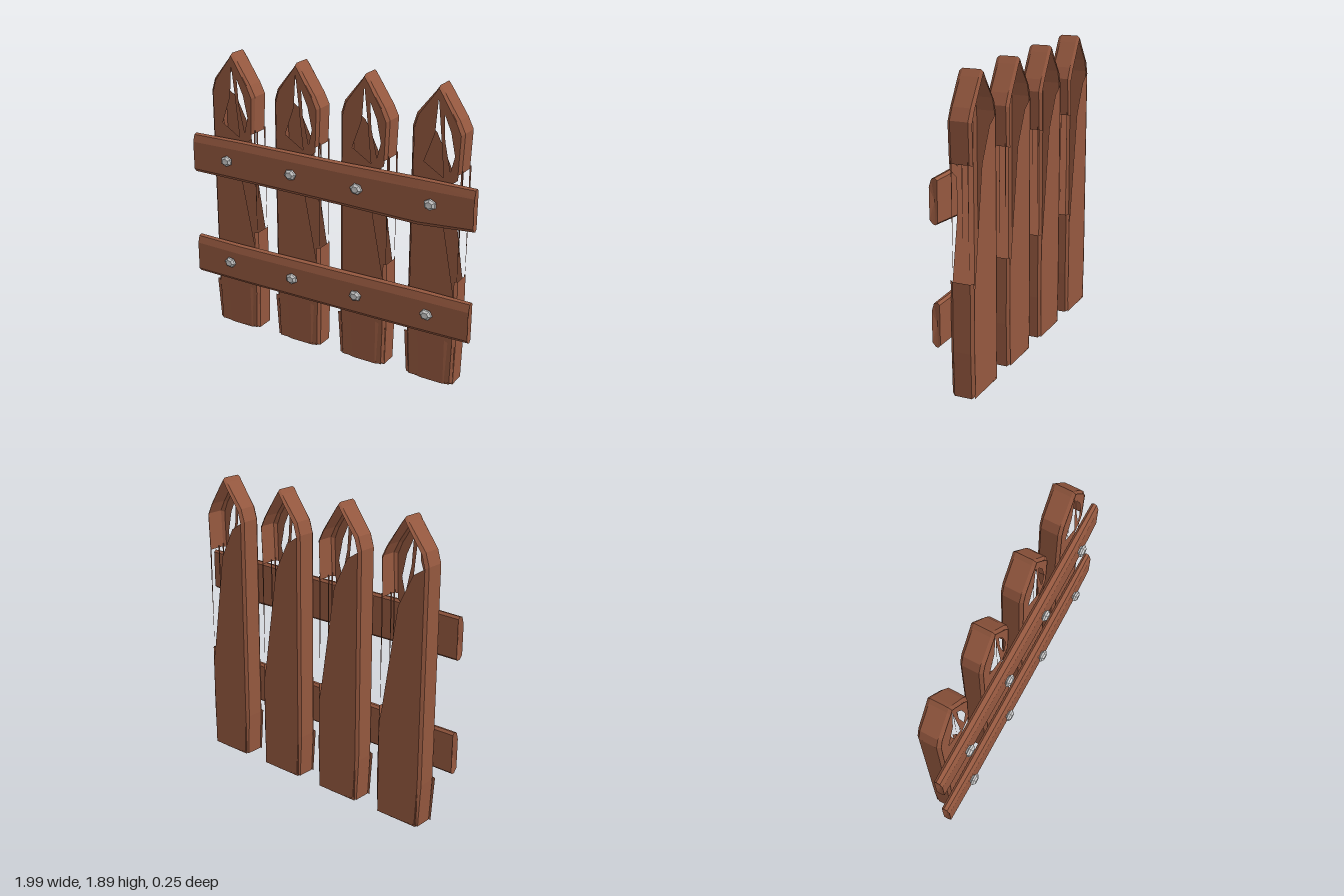
import * as THREE from 'three';

const wood = new THREE.MeshStandardMaterial({ color: 0x95583f, flatShading: true, side: THREE.DoubleSide });
const metal = new THREE.MeshStandardMaterial({ color: 0xcccccc, flatShading: true });

function add(parent, name, geometry, material = wood) {
  const mesh = new THREE.Mesh(geometry, material);
  mesh.name = name;
  parent.add(mesh);
  return mesh;
}

// Skin a grid of points: rows of equal length, each point [x, y, z]
function skin(rows) {
  const n = rows[0].length, index = [];
  for (let r = 0; r < rows.length - 1; r++) {
    for (let i = 0; i < n - 1; i++) {
      const a = r * n + i, b = a + n;
      index.push(a, b, a + 1, a + 1, b, b + 1);
    }
  }
  const geo = new THREE.BufferGeometry();
  geo.setAttribute('position', new THREE.Float32BufferAttribute(rows.flat(2), 3));
  geo.setIndex(index);
  geo.computeVertexNormals();
  return geo;
}

const path = (pts, Type = THREE.Shape) => new Type(pts.map(([x, y]) => new THREE.Vector2(x, y)));

function panel(pts, z, holes = []) {
  const shape = path(pts);
  shape.holes = holes.map((h) => path(h, THREE.Path));
  return new THREE.ShapeGeometry(shape).translate(0, 0, z);
}

// Broken, hollow picket with a pointed top
function makePicket() {
  const picket = new THREE.Group();
  picket.name = 'picket';

  // Edge walls, open along part of the right side
  const edge = [
    [0.162, 0.72], [0.167, 0.3], [0.16, 0.02], [0.05, 0.008], [-0.08, 0.012], [-0.15, 0.02],
    [-0.165, 0.3], [-0.165, 1.64], [-0.14, 1.72], [-0.02, 1.87], [0.0, 1.9], [0.03, 1.86],
    [0.13, 1.71], [0.165, 1.64], [0.155, 1.4],
  ];
  const inset = ([x, y], z) => [x * 0.9, 0.95 + (y - 0.95) * 0.985, z];
  add(picket, 'picketEdge', skin([
    edge.map((p) => inset(p, 0.025)),
    edge.map(([x, y]) => [x, y, 0.005]),
    edge.map(([x, y]) => [x, y, -0.105]),
    edge.map((p) => inset(p, -0.122)),
  ]));

  // Front face with splits near the point
  add(picket, 'picketFront', panel([
    [-0.14, 0.02], [0.145, 0.02], [0.15, 0.6], [0.13, 0.7], [0.06, 1.07], [0.06, 1.3], [0.14, 1.36],
    [0.148, 1.63], [0.115, 1.71], [0, 1.885], [-0.125, 1.71], [-0.148, 1.63], [-0.148, 0.3],
  ], 0.022, [
    [[0.0, 1.83], [-0.015, 1.62], [-0.08, 1.44], [0.05, 1.36], [0.02, 1.65]],
    [[0.04, 1.74], [0.05, 1.58], [0.09, 1.4], [0.115, 1.5], [0.085, 1.64]],
  ]));

  // Back face, split away along a diagonal
  add(picket, 'picketBack', panel([
    [-0.148, 0.02], [0.148, 0.02], [0.15, 0.62], [0.13, 0.72], [0.03, 1.38], [-0.07, 1.58], [-0.148, 1.63],
  ], -0.12));

  // Splinters left hanging on the right edge
  for (const [x, z, low] of [[0.155, 0.005, 0.6], [0.16, -0.1, 0.68], [0.135, -0.05, 0.85]]) {
    add(picket, 'splinter', panel([[x - 0.006, 1.42], [x, low], [x + 0.006, 1.42]], z));
  }

  // Loose flap of wood at the foot
  add(picket, 'footFlap', skin([
    [[-0.18, 0.31, 0.012], [-0.04, 0.34, 0.028], [0.1, 0.32, 0.028], [0.165, 0.28, 0.01]],
    [[-0.162, 0.02, 0.008], [-0.05, 0.015, 0.024], [0.1, 0.015, 0.024], [0.16, 0.02, 0.006]],
  ]));
  return picket;
}

// Rail lofted through bevelled sections: [x, bottom, top, front z]
function makeRail(name, sections) {
  const ring = ([x, y0, y1, z], k = 1) => {
    const m = (y0 + y1) / 2, h = ((y1 - y0) / 2) * k, zb = 0.03, zm = (z + zb) / 2;
    const pts = [[-0.8, z], [0.6, z], [0.95, z - 0.015], [1, zb + 0.015], [0.9, zb],
      [-0.9, zb], [-1, zb + 0.015], [-0.97, z - 0.02], [-0.8, z]];
    return pts.map(([y, pz]) => [x, m + y * h, zm + (pz - zm) * k]);
  };
  const first = sections[0], last = sections[sections.length - 1];
  const sunk = (s, dx) => ring([s[0] + dx, s[1], s[2], s[3]], 0.01);
  const rows = [sunk(first, 0.015), ...sections.map((s) => ring(s)), sunk(last, -0.015)];
  const geo = skin(rows);
  const rail = new THREE.Group();
  rail.name = name;
  add(rail, 'railBeam', geo);
  return rail;
}

// Rough faceted bolt head facing forward
function makeBolt(turn) {
  const profile = [[0.02, 0.07], [0.03, 0.095], [0.042, 0.1], [0.04, 0.112], [0.024, 0.124], [0, 0.122]];
  const geo = new THREE.LatheGeometry(profile.map(([r, y]) => new THREE.Vector2(r, y)), 6);
  geo.rotateX(Math.PI / 2).rotateZ(turn).scale(1, 0.85, 1);
  return new THREE.Mesh(geo, metal);
}

export function createModel() {
  const fence = new THREE.Group();
  fence.name = 'picketFence';

  for (let i = 0; i < 4; i++) {
    const picket = makePicket();
    picket.position.x = -0.72 + i * 0.479;
    fence.add(picket);
  }

  fence.add(makeRail('upperRail', [
    [-1, 1.08, 1.345, 0.083], [-0.65, 1.08, 1.35, 0.088], [0.1, 1.07, 1.345, 0.09],
    [0.64, 1.055, 1.35, 0.088], [0.99, 1.08, 1.345, 0.08],
  ]));
  fence.add(makeRail('lowerRail', [
    [-1, 0.36, 0.63, 0.083], [-0.65, 0.36, 0.625, 0.088], [0.1, 0.36, 0.63, 0.09],
    [0.64, 0.36, 0.635, 0.088], [0.99, 0.36, 0.63, 0.08],
  ]));

  // Bolts where rails cross pickets
  [1.215, 0.505].forEach((y, row) => {
    [-0.72, -0.235, 0.235, 0.725].forEach((x, i) => {
      const bolt = makeBolt(i * 0.7 + row * 0.4);
      bolt.name = 'bolt';
      bolt.position.set(x, y, 0);
      fence.add(bolt);
    });
  });
  return fence;
}
